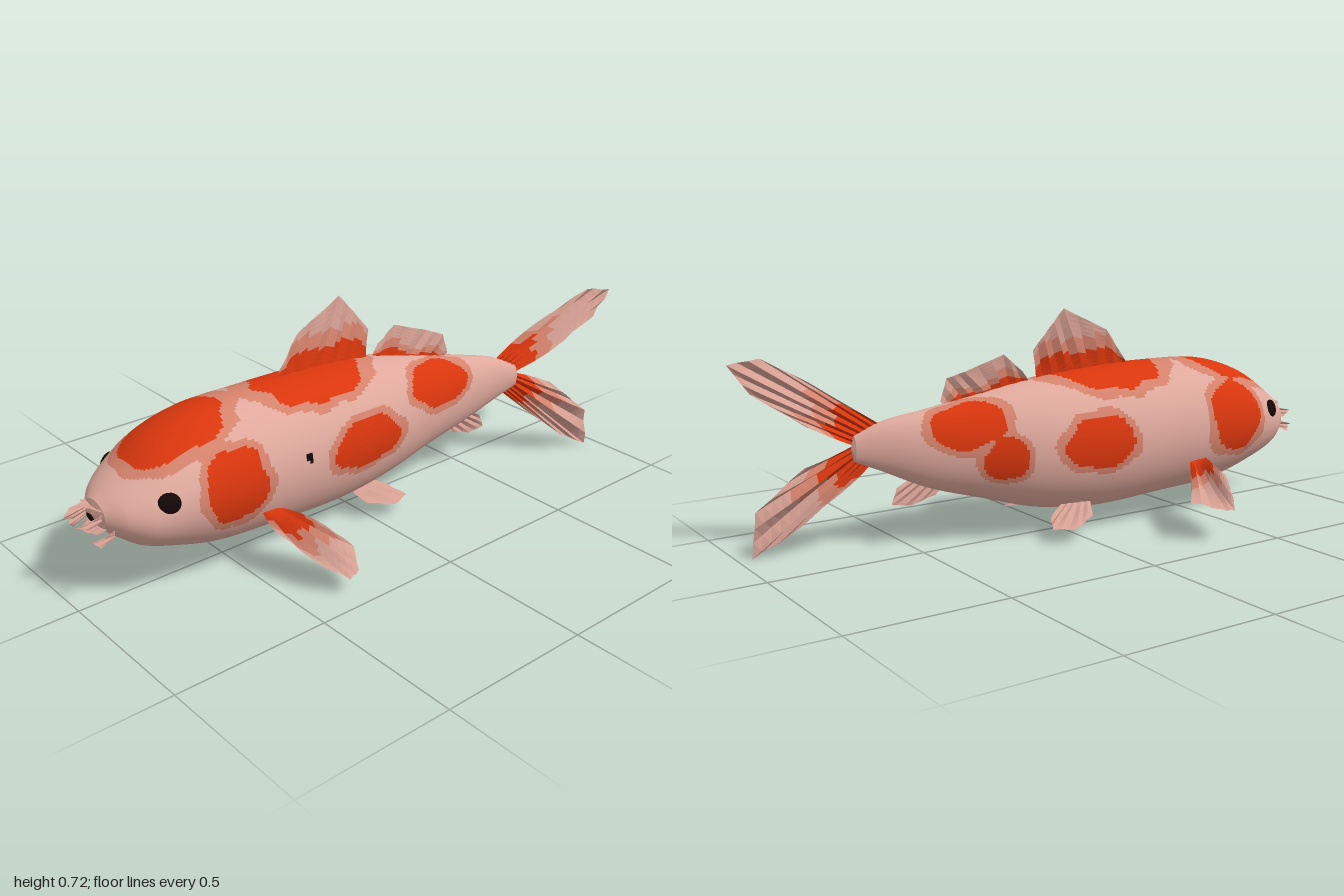
import * as THREE from 'three';

const mat = (name, color) => {
  const m = new THREE.MeshStandardMaterial({ color, side: THREE.DoubleSide });
  m.name = name;
  return m;
};

export function createModel() {
  const fish = new THREE.Group();
  fish.name = 'koi';
  const mats = [
    mat('pinkSkin', 0xdfa99c), mat('orangePatch', 0xd9360d),
    mat('patchFringe', 0xd4826c), mat('black', 0x140807), mat('finMembrane', 0xd59f92),
  ];
  const [SKIN, ORANGE, FRINGE, BLACK, FIN] = [0, 1, 2, 3, 4];
  const V = (x, y, z) => new THREE.Vector3(x, y, z);

  // Grid surface whose quads are sorted into one group per colour
  function surface(name, nu, nv, point, paint, flat = false) {
    const pos = [], buckets = mats.map(() => []);
    for (let i = 0; i <= nu; i++)
      for (let j = 0; j <= nv; j++) pos.push(...point(i / nu, j / nv).toArray());
    const at = k => V(pos[3 * k], pos[3 * k + 1], pos[3 * k + 2]);
    for (let i = 0; i < nu; i++)
      for (let j = 0; j < nv; j++) {
        const a = i * (nv + 1) + j, b = a + 1, c = a + nv + 1, d = c + 1;
        const mid = at(a).add(at(b)).add(at(c)).add(at(d)).multiplyScalar(0.25);
        buckets[paint(mid, (i + 0.5) / nu, (j + 0.5) / nv)].push(a, b, c, b, d, c);
      }
    let geo = new THREE.BufferGeometry();
    geo.setAttribute('position', new THREE.Float32BufferAttribute(pos, 3));
    geo.setIndex(buckets.flat());
    if (flat) geo = geo.toNonIndexed();
    let start = 0;
    buckets.forEach((b, m) => {
      if (b.length) geo.addGroup(start, b.length, m);
      start += b.length;
    });
    geo.computeVertexNormals();
    const mesh = new THREE.Mesh(geo, mats);
    mesh.name = name;
    fish.add(mesh);
  }

  // Body sections: z, centre x, top y, bottom y, half width
  const sections = [
    [0.92, 0, 0.335, 0.25, 0.06], [0.88, 0, 0.365, 0.215, 0.118], [0.82, -0.003, 0.405, 0.17, 0.166],
    [0.72, -0.006, 0.47, 0.13, 0.195], [0.58, -0.005, 0.515, 0.09, 0.206], [0.36, 0, 0.525, 0.072, 0.2],
    [0.1, 0.002, 0.52, 0.062, 0.192], [-0.1, 0.01, 0.5, 0.085, 0.167], [-0.28, 0.032, 0.465, 0.135, 0.124],
    [-0.45, 0.065, 0.43, 0.185, 0.078], [-0.58, 0.105, 0.4, 0.245, 0.042], [-0.66, 0.13, 0.36, 0.28, 0.016],
  ];
  const upper = new THREE.CatmullRomCurve3(sections.map(s => V(s[1], s[2], s[0])));
  const lower = new THREE.CatmullRomCurve3(sections.map(s => V(s[4], s[3], s[0])));
  function bodyPoint(u, v) {
    const t = upper.getPoint(u), b = lower.getPoint(u), a = v * Math.PI * 2;
    return V(t.x + b.x * Math.sin(a), (t.y + b.y) / 2 + (t.y - b.y) / 2 * Math.cos(a), t.z);
  }

  // Colour patches: centre, then radii
  const patches = [
    [-0.005, 0.48, 0.66, 0.135, 0.14, 0.185], [0, 0.53, 0.17, 0.165, 0.11, 0.215],
    [0.2, 0.33, 0.56, 0.12, 0.12, 0.105], [-0.2, 0.34, 0.59, 0.12, 0.12, 0.11],
    [0.19, 0.31, 0.06, 0.1, 0.08, 0.145], [-0.19, 0.31, 0.04, 0.1, 0.09, 0.125],
    [0.14, 0.4, -0.3, 0.09, 0.085, 0.13], [-0.04, 0.39, -0.36, 0.09, 0.08, 0.13],
    [-0.08, 0.28, -0.25, 0.08, 0.07, 0.075],
  ];
  function paintBody(p) {
    if (Math.hypot(p.y - 0.34, p.z - 0.3) < 0.016 && p.x > 0) return BLACK;
    const wobble = 0.05 * Math.sin(p.z * 47 + p.y * 31) + 0.04 * Math.sin(p.x * 53 - p.y * 41);
    const d = wobble + Math.min(...patches.map(c =>
      Math.hypot((p.x - c[0]) / c[3], (p.y - c[1]) / c[4], (p.z - c[2]) / c[5])));
    return d < 0.97 ? ORANGE : d < 1.22 ? FRINGE : SKIN;
  }
  surface('body', 240, 128, bodyPoint, paintBody);

  // Snout cap and tail root cap
  for (const [name, u, dz] of [['snoutCap', 0, 0.012], ['tailRootCap', 1, -0.01]])
    surface(name, 2, 24, (s, v) => {
      const rim = bodyPoint(u, v), c = bodyPoint(u, 0).add(bodyPoint(u, 0.5)).multiplyScalar(0.5);
      c.z += dz;
      return rim.lerp(c, s);
    }, () => SKIN);

  // Fin: a pleated sheet between a root line and a tip line
  function fin(name, root, tip, pleat, reach = 0.4) {
    const rays = 3 * (tip.length - 1), push = V(...pleat);
    const along = (pts, v) => {
      const k = v * (pts.length - 1), i = Math.min(Math.floor(k + 1e-6), pts.length - 2);
      return V(...pts[i]).lerp(V(...pts[i + 1]), k - i);
    };
    surface(name, 12, rays, (u, v) => {
      const fold = (Math.round(v * rays) % 2 ? 1 : -1) * Math.sin(u * Math.PI * 0.9);
      return along(root, v).lerp(along(tip, v), u).addScaledVector(push, fold);
    }, (p, u, v) => {
      const edge = reach * (1 + 0.25 * Math.sin(v * 9));
      return u < edge ? ORANGE : u < edge * 1.6 ? FRINGE : FIN;
    }, true);
  }

  // Dorsal fin and its lower rear part
  fin('dorsalFin', [[0, 0.52, 0.27], [0, 0.5, 0.1], [0.01, 0.48, -0.08]],
    [[-0.005, 0.55, 0.25], [-0.015, 0.64, 0.18], [-0.027, 0.72, 0], [-0.02, 0.66, -0.05], [0, 0.59, -0.1]],
    [0.005, 0, 0], 0.45);
  fin('rearDorsalFin', [[0.01, 0.48, -0.1], [0.055, 0.42, -0.38]],
    [[0, 0.53, -0.14], [0.01, 0.585, -0.2], [0.03, 0.54, -0.33], [0.055, 0.52, -0.38], [0.06, 0.45, -0.4]],
    [0.004, 0, 0], 0.35);

  // Tail lobes, swept towards the fish's left
  const tail = pts => pts.map(([z, y]) => [0.115 + (-0.6 - z) * 0.34, y, z]);
  fin('upperTailLobe', tail([[-0.58, 0.39], [-0.65, 0.325]]),
    tail([[-0.78, 0.53], [-0.91, 0.605], [-1, 0.59], [-0.94, 0.5], [-0.79, 0.395]]), [0.016, 0, 0.004], 0.33);
  fin('lowerTailLobe', tail([[-0.65, 0.335], [-0.6, 0.28]]),
    tail([[-0.8, 0.27], [-0.94, 0.14], [-0.955, 0], [-0.85, 0.06], [-0.72, 0.17]]), [0.016, 0, 0.004], 0.36);

  // Pectoral fins: the pair is held at slightly different angles
  const pectoral = (name, side, slope, reach, outline) => fin(name,
    [[side * 0.17, 0.215, 0.47], [side * 0.185, 0.2, 0.4]],
    outline.map(([x, z]) => [side * x, 0.215 - (x - 0.18) * slope, z]), [0, 0.008, 0], reach);
  pectoral('leftPectoralFin', 1, 0.56, 0.42,
    [[0.25, 0.475], [0.38, 0.42], [0.45, 0.36], [0.44, 0.32], [0.37, 0.28], [0.29, 0.32]]);
  pectoral('rightPectoralFin', -1, 0.42, 0.36,
    [[0.28, 0.47], [0.4, 0.4], [0.45, 0.36], [0.44, 0.32], [0.38, 0.24], [0.31, 0.3]]);

  // Pelvic fins and anal fin
  for (const s of [-1, 1])
    fin(s > 0 ? 'leftPelvicFin' : 'rightPelvicFin', [[s * 0.09, 0.11, 0.06], [s * 0.07, 0.11, -0.02]],
      [[s * 0.15, 0.07, 0.03], [s * 0.185, 0.045, -0.06], [s * 0.16, 0.05, -0.13], [s * 0.1, 0.07, -0.1]],
      [0, 0.005, 0], 0);
  fin('analFin', [[0.06, 0.2, -0.38], [0.085, 0.22, -0.48]],
    [[0.07, 0.155, -0.42], [0.08, 0.13, -0.5], [0.09, 0.14, -0.56], [0.09, 0.19, -0.54]], [0.004, 0, 0], 0);

  // Eyes: dark discs set into the cheeks
  for (const s of [-1, 1]) {
    const eye = new THREE.Mesh(new THREE.SphereGeometry(1, 18, 12), mats[BLACK]);
    eye.name = s > 0 ? 'leftEye' : 'rightEye';
    eye.scale.set(0.014, 0.031, 0.034);
    eye.position.set(s * 0.168 - 0.004, 0.34, 0.775);
    eye.rotation.set(0, -s * 0.5, s * 0.25);
    fish.add(eye);
  }

  // Mouth: small dark opening between two thin lips
  const mouth = new THREE.Mesh(new THREE.CircleGeometry(0.022, 20), mats[BLACK]);
  mouth.name = 'mouthOpening';
  mouth.scale.set(1, 0.5, 1);
  mouth.position.set(0, 0.285, 0.935);
  fish.add(mouth);
  for (const [name, y, lift] of [['upperLip', 0.315, 0.012], ['lowerLip', 0.26, -0.012]])
    fin(name, [[-0.055, y, 0.915], [0, y, 0.925], [0.055, y, 0.915]],
      [[-0.04, y + lift, 0.94], [0, y + lift, 0.96], [0.04, y + lift, 0.94]], [0, 0.002, 0], 0);

  // Barbels: slender leaves beside the mouth
  for (const s of [-1, 1])
    for (const [x, y, len] of [[0.045, 0.3, 0.07], [0.08, 0.255, 0.04]])
      fin('barbel', [[s * x, y + 0.012, 0.905], [s * x, y - 0.012, 0.905]],
        [[s * (x + 0.015), y, 0.93 + len * 0.5], [s * x * 0.8, y - 0.01, 0.93 + len], [s * x, y - 0.03, 0.93 + len * 0.5]],
        [0.002, 0, 0], 0);

  return fish;
}
